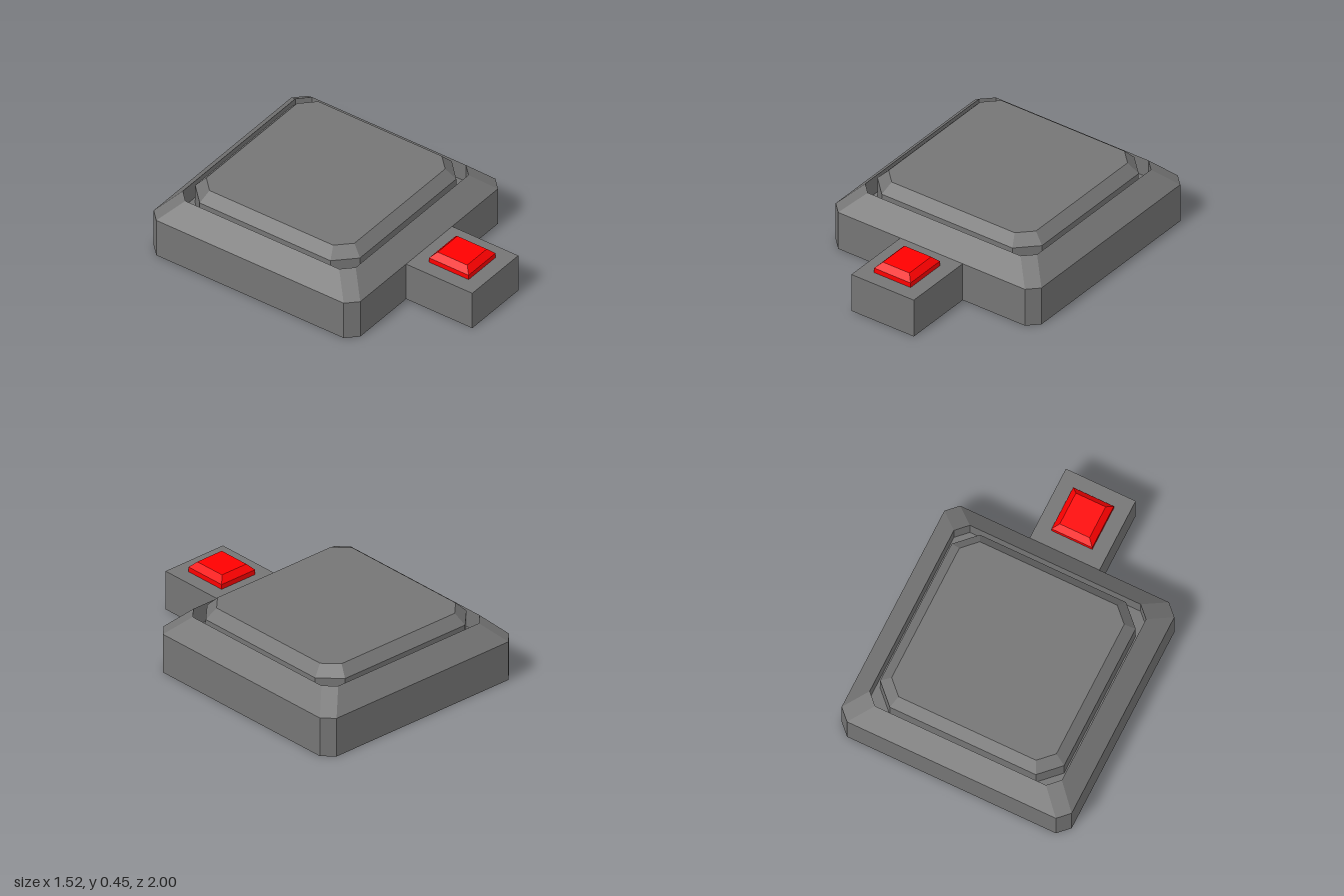
import * as THREE from 'three';

const grey = new THREE.MeshStandardMaterial({ color: 0x757575, flatShading: true });
const red = new THREE.MeshStandardMaterial({ color: 0xff0000, flatShading: true });

// Rectangle outline with cut corners, counter-clockwise seen from above
function outline([y, x, zBack, zFront, cut]) {
  const corners = [[1, zFront, 1], [1, zBack, -1], [-1, zBack, -1], [-1, zFront, 1]];
  const points = [];
  corners.forEach(([sx, z, sz], i) => {
    const onEnd = new THREE.Vector3(sx * (x - cut), y, z);
    const onSide = new THREE.Vector3(sx * x, y, z - sz * cut);
    if (cut === 0) points.push(onEnd);
    else points.push(...(i % 2 === 0 ? [onEnd, onSide] : [onSide, onEnd]));
  });
  return points;
}

// Closed solid through a stack of outlines: [y, half width, back z, front z, corner cut]
function stack(name, levels, material) {
  const rings = levels.map(outline);
  const n = rings[0].length;
  const tris = [];
  for (let k = 0; k < rings.length - 1; k++) {
    for (let i = 0; i < n; i++) {
      const j = (i + 1) % n;
      const [a, b, c, d] = [rings[k][i], rings[k][j], rings[k + 1][j], rings[k + 1][i]];
      tris.push(a, b, c, a, c, d);
    }
  }
  const bottom = rings[0], top = rings[rings.length - 1];
  for (let i = 1; i < n - 1; i++) {
    tris.push(top[0], top[i], top[i + 1], bottom[0], bottom[i + 1], bottom[i]);
  }
  const geometry = new THREE.BufferGeometry().setFromPoints(tris);
  geometry.computeVertexNormals();
  const mesh = new THREE.Mesh(geometry, material);
  mesh.name = name;
  return mesh;
}

export function createModel() {
  const model = new THREE.Group();
  model.name = 'buttonPad';

  // Housing with sloped shoulders and a recess inside the rim
  model.add(stack('housing', [
    [0, 0.758, -1, 0.515, 0.07],
    [0.258, 0.758, -1, 0.515, 0.07],
    [0.38, 0.633, -0.878, 0.39, 0.07],
    [0.258, 0.633, -0.878, 0.39, 0.07],
  ], grey));

  // Raised plate standing in the recess
  model.add(stack('topPlate', [
    [0.258, 0.606, -0.848, 0.361, 0.125],
    [0.387, 0.606, -0.848, 0.361, 0.125],
    [0.452, 0.543, -0.787, 0.3, 0.09],
  ], grey));

  // Block projecting from the front
  model.add(stack('frontBlock', [
    [0, 0.23, 0.515, 1, 0],
    [0.258, 0.23, 0.515, 1, 0],
  ], grey));

  // Bevelled red button
  model.add(stack('button', [
    [0.258, 0.134, 0.613, 0.903, 0],
    [0.29, 0.134, 0.613, 0.903, 0],
    [0.327, 0.098, 0.65, 0.866, 0],
  ], red));

  return model;
}
